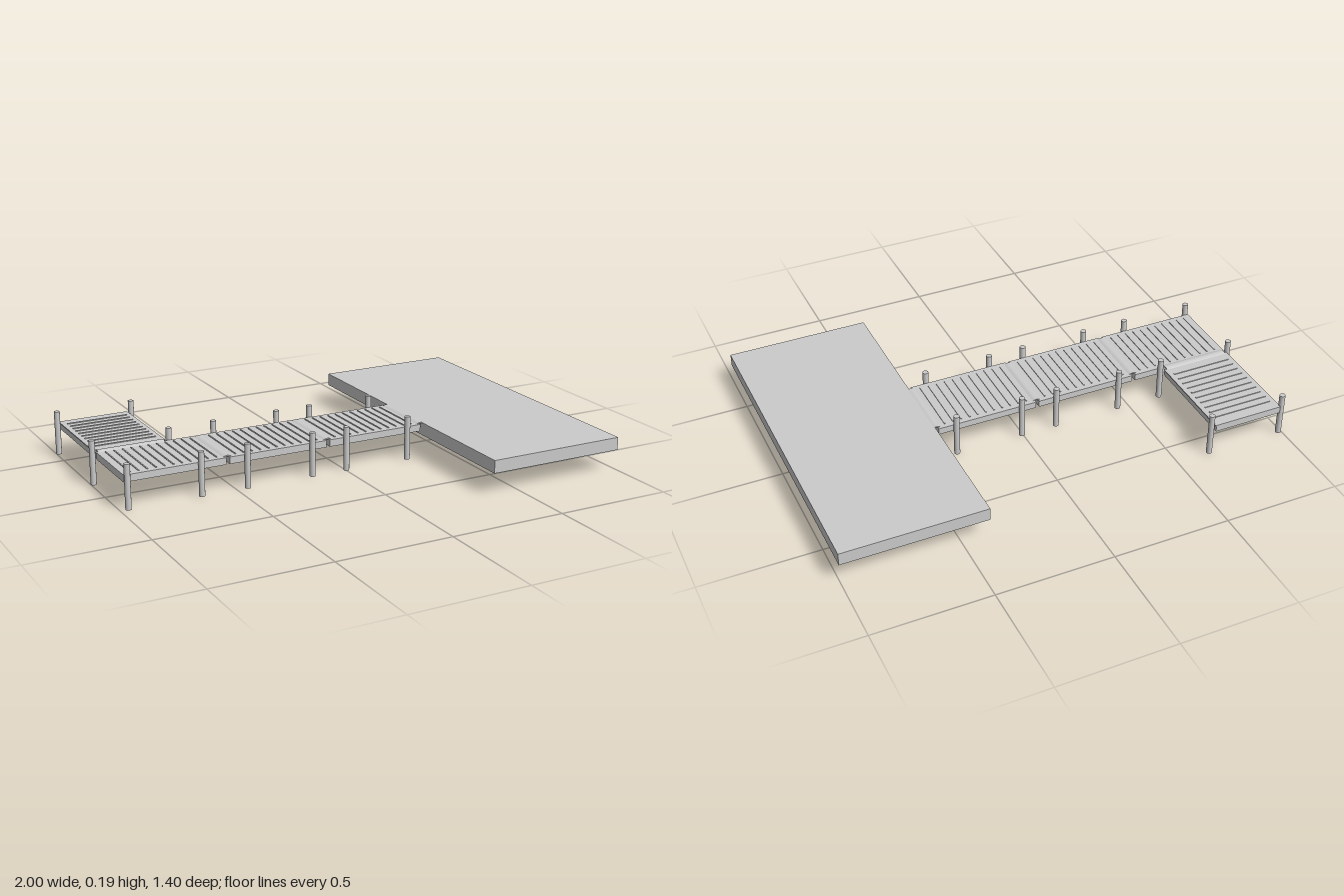
import * as THREE from 'three';

const mat = new THREE.MeshStandardMaterial({ color: 0xcccccc });

function box(name, w, h, d, x, y, z) {
  const m = new THREE.Mesh(new THREE.BoxGeometry(w, h, d), mat);
  m.name = name;
  m.position.set(x, y, z);
  return m;
}

// Floating deck: body, thin top plate and rows of cross ribs, running along local x
function deck(name, length, width, ribLength) {
  const g = new THREE.Group();
  g.name = name;
  g.add(box('deckBody', length, 0.026, width - 0.006, 0, 0.122, 0));
  g.add(box('deckPlate', length, 0.005, width, 0, 0.1375, 0));
  const pitch = 0.037;
  const count = Math.floor((length - 0.03) / pitch);
  for (let i = 0; i < count; i++) {
    const x = (i - (count - 1) / 2) * pitch;
    g.add(box('topRib', 0.005, 0.004, ribLength, x, 0.1415, 0));
    g.add(box('bottomRib', 0.005, 0.002, ribLength, x, 0.1085, 0));
  }
  return g;
}

// Low arched plate bridging the gap between two decks
function hingeCover(width) {
  const s = new THREE.Shape();
  s.moveTo(-0.024, 0.136);
  s.quadraticCurveTo(0, 0.154, 0.024, 0.136);
  s.lineTo(0.018, 0.134);
  s.quadraticCurveTo(0, 0.146, -0.018, 0.134);
  s.closePath();
  const geo = new THREE.ExtrudeGeometry(s, { depth: width, bevelEnabled: false, curveSegments: 6 });
  geo.translate(0, 0, -width / 2);
  const m = new THREE.Mesh(geo, mat);
  m.name = 'hingeCover';
  return m;
}

export function createModel() {
  const model = new THREE.Group();
  model.name = 'pier';

  // Large landing slab
  model.add(box('landingSlab', 0.615, 0.055, 1.4, 0.6925, 0.1155, 0));

  // Walkway sections
  for (const [x0, x1] of [[-0.975, -0.537], [-0.522, -0.082], [-0.067, 0.372]]) {
    const d = deck('walkwayDeck', x1 - x0, 0.314, 0.27);
    d.position.x = (x0 + x1) / 2;
    model.add(d);
  }

  // Side platform, turned so its ribs run along x
  const side = deck('sideDeck', 0.435, 0.312, 0.27);
  side.rotation.y = Math.PI / 2;
  side.position.set(-0.823, 0, -0.39);
  model.add(side);

  // Covers over the joints
  for (const x of [-0.5295, -0.0745, 0.377]) {
    const h = hingeCover(0.29);
    h.position.x = x;
    model.add(h);
  }
  const sideHinge = hingeCover(0.29);
  sideHinge.rotation.y = Math.PI / 2;
  sideHinge.position.set(-0.823, 0, -0.163);
  model.add(sideHinge);

  // Mooring posts
  const postGeo = new THREE.CylinderGeometry(0.0125, 0.0125, 0.19, 16);
  const posts = [[-0.965, 0.168], [-0.988, -0.163], [-0.988, -0.597], [-0.652, -0.597]];
  for (const x of [-0.652, -0.45, -0.155, 0.004, 0.299]) posts.push([x, 0.168], [x, -0.168]);
  for (const [x, z] of posts) {
    const p = new THREE.Mesh(postGeo, mat);
    p.name = 'post';
    p.position.set(x, 0.095, z);
    model.add(p);
  }
  return model;
}
